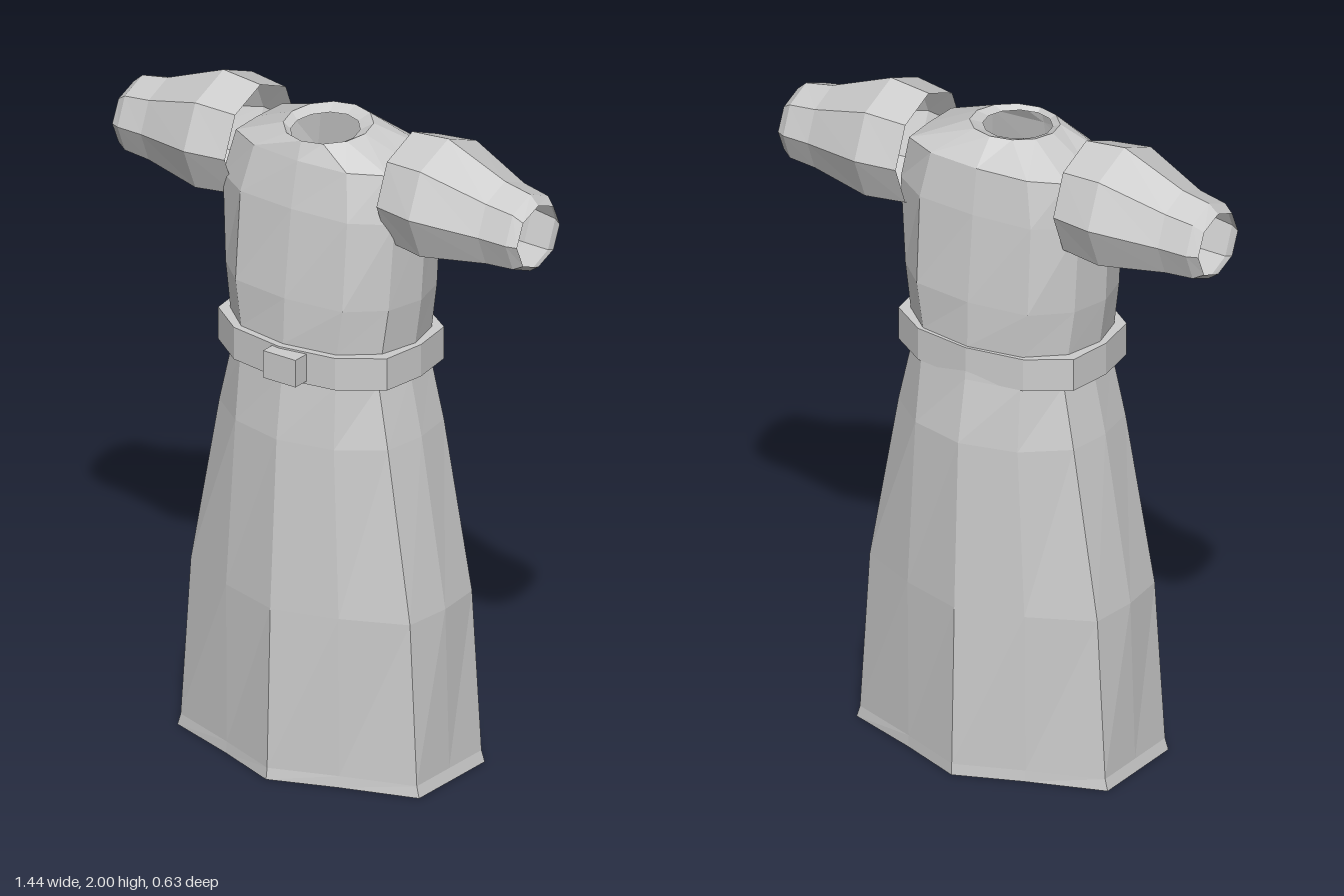
import * as THREE from 'three';

const cloth = new THREE.MeshStandardMaterial({ color: 0xcccccc, flatShading: true, side: THREE.DoubleSide });
cloth.name = 'light grey cloth';

// Skin a list of closed rings (arrays of [x, y, z]) in order
function loft(name, rings) {
  const n = rings[0].length, index = [];
  for (let i = 0; i < rings.length - 1; i++) {
    for (let j = 0; j < n; j++) {
      const a = i * n + j, b = i * n + (j + 1) % n;
      index.push(a, b, b + n, a, b + n, a + n);
    }
  }
  const geometry = new THREE.BufferGeometry();
  geometry.setAttribute('position', new THREE.Float32BufferAttribute(rings.flat(2), 3));
  geometry.setIndex(index);
  geometry.computeVertexNormals();
  const mesh = new THREE.Mesh(geometry, cloth);
  mesh.name = name;
  return mesh;
}

// Twelve-point body section: front and back centre, mid panels, corners and sides.
// bulge sets how far the mid panel lies from corner depth to centre depth.
function bodyRing([y, front, back, xMid, bulge, xCorner, cornerF, cornerB, xSide, tilt = 0]) {
  const mid = (corner, centre) => corner + (centre - corner) * bulge;
  const half = [
    [xMid, mid(cornerF, front)], [xCorner, cornerF], [xSide, (cornerF + cornerB) / 2],
    [xCorner, cornerB], [xMid, mid(cornerB, back)],
  ];
  const loop = [[0, front], ...half, [0, back], ...half.slice().reverse().map(([x, z]) => [-x, z])];
  return loop.map(([x, z]) => [x, y - tilt * z, z]);
}

// Eight-sided sleeve section with a corner on top
function sleeveRing(side, [x, yc, ry, zc, rz]) {
  const ring = [];
  for (let i = 0; i < 8; i++) {
    const a = side * i * Math.PI / 4;
    ring.push([side * x, yc + ry * Math.cos(a), zc + rz * Math.sin(a)]);
  }
  return ring;
}

export function createModel() {
  const model = new THREE.Group();
  model.name = 'dress';

  // Skirt, from the flared hem to the waist
  const waist = [1.24, 0.245, -0.24, 0.17, 0.75, 0.26, 0.13, -0.12, 0.28];
  model.add(loft('skirt', [
    [0, 0.32, -0.31, 0.2, 0.5, 0.43, 0.165, -0.15, 0.43],
    [0.035, 0.315, -0.308, 0.2, 0.5, 0.42, 0.163, -0.148, 0.42],
    [0.53, 0.3, -0.295, 0.2, 0.6, 0.39, 0.155, -0.143, 0.405],
    [1.05, 0.27, -0.275, 0.175, 0.7, 0.3, 0.14, -0.13, 0.32],
    waist,
  ].map(bodyRing)));

  // Bodice, over the shoulders to the turned-in neckline
  model.add(loft('bodice', [
    waist,
    [1.34, 0.238, -0.228, 0.17, 0.75, 0.27, 0.127, -0.112, 0.3],
    [1.48, 0.232, -0.225, 0.19, 0.8, 0.29, 0.123, -0.11, 0.32],
    [1.75, 0.2, -0.2, 0.19, 0.85, 0.305, 0.115, -0.11, 0.335],
    [1.89, 0.17, -0.18, 0.165, 0.8, 0.27, 0.1, -0.12, 0.275],
    [1.957, 0.152, -0.11, 0.065, 0.73, 0.113, 0.085, -0.045, 0.13, 0.07],
    [1.943, 0.14, -0.07, 0.05, 0.73, 0.087, 0.085, -0.015, 0.1, 0.07],
  ].map(bodyRing)));

  // Belt band with thickness
  const outer = [0.26, -0.237, 0.18, 0.75, 0.3, 0.145, -0.13, 0.32];
  const inner = [0.225, -0.21, 0.165, 0.75, 0.25, 0.12, -0.105, 0.27];
  model.add(loft('belt', [
    [1.24, ...inner], [1.24, ...outer], [1.34, ...outer], [1.34, ...inner],
  ].map(bodyRing)));

  // Buckle, set slightly off centre
  const buckle = new THREE.Mesh(new THREE.BoxGeometry(0.115, 0.085, 0.06), cloth);
  buckle.name = 'buckle';
  buckle.position.set(0.032, 1.292, 0.27);
  model.add(buckle);

  // Puffed sleeves, open at both ends
  const sleeve = [
    [0.27, 1.812, 0.175, -0.018, 0.172],
    [0.4, 1.812, 0.188, -0.016, 0.192],
    [0.6, 1.788, 0.132, -0.018, 0.13],
    [0.69, 1.783, 0.12, -0.018, 0.12],
    [0.72, 1.78, 0.096, -0.016, 0.103],
  ];
  for (const side of [1, -1]) {
    model.add(loft(side > 0 ? 'leftSleeve' : 'rightSleeve', sleeve.map((r) => sleeveRing(side, r))));
  }
  return model;
}
